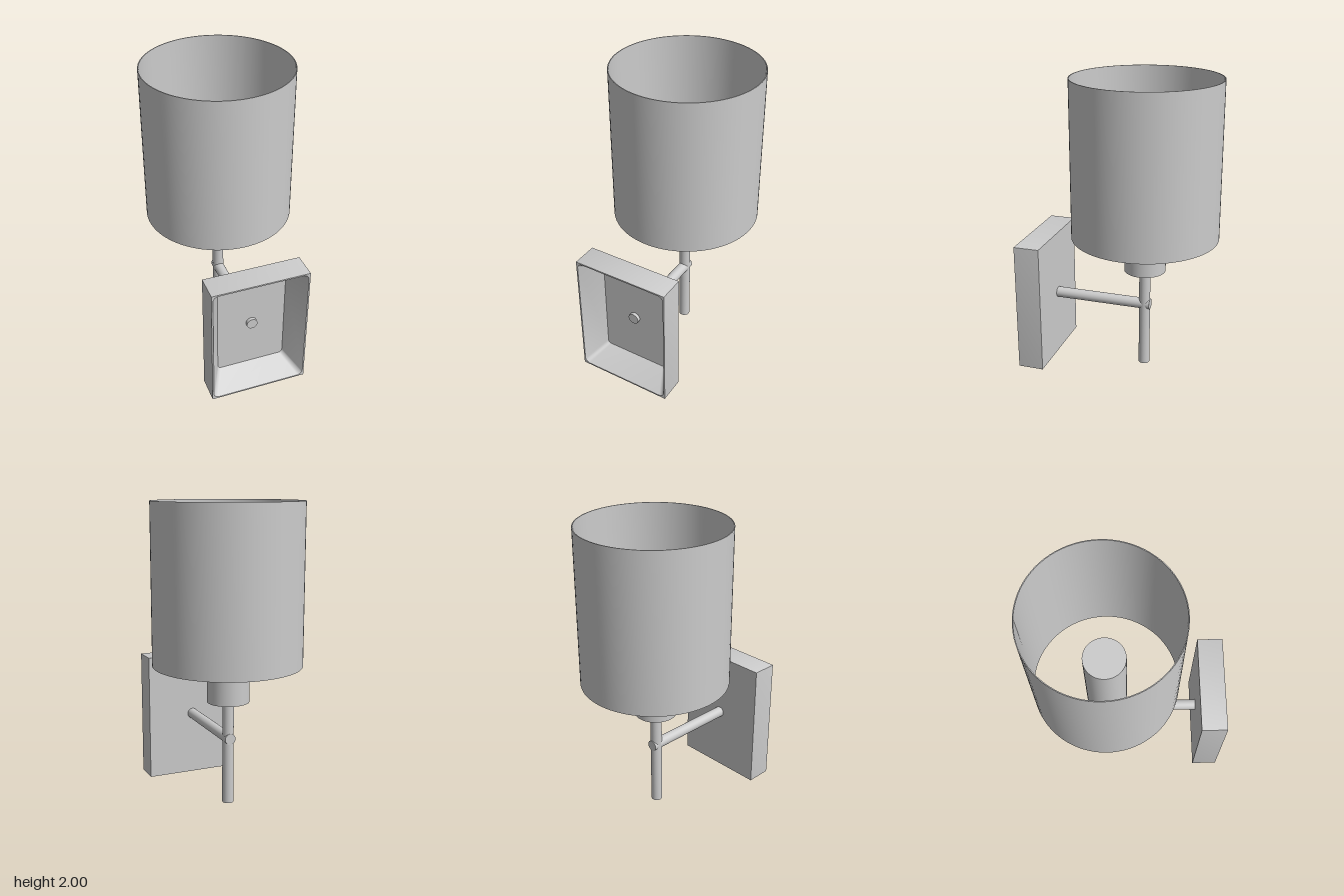
import * as THREE from 'three';
import { toCreasedNormals } from 'three/addons/utils/BufferGeometryUtils.js';

const CX = -0.005; // shared centre line
const STEM_Z = -0.16;

// Counter-clockwise rounded rectangle at depth z
function roundedRing(w, h, r, z) {
  const ring = [];
  const steps = 6;
  const corners = [[1, 1], [-1, 1], [-1, -1], [1, -1]];
  corners.forEach(([sx, sy], q) => {
    for (let i = 0; i <= steps; i++) {
      const a = (q + i / steps) * Math.PI / 2;
      ring.push([sx * (w / 2 - r) + r * Math.cos(a), sy * (h / 2 - r) + r * Math.sin(a), z]);
    }
  });
  return ring;
}

// Skin a series of rings and close both ends
function skinRings(rings) {
  const n = rings[0].length;
  const positions = rings.flat(2);
  const index = [];
  for (let i = 0; i < rings.length - 1; i++) {
    for (let j = 0; j < n; j++) {
      const k = (j + 1) % n;
      const a = i * n + j, b = i * n + k, c = b + n, d = a + n;
      index.push(a, b, c, a, c, d);
    }
  }
  const last = (rings.length - 1) * n;
  for (let j = 1; j < n - 1; j++) {
    index.push(0, j + 1, j, last, last + j, last + j + 1);
  }
  const geometry = new THREE.BufferGeometry();
  geometry.setAttribute('position', new THREE.Float32BufferAttribute(positions, 3));
  geometry.setIndex(index);
  return toCreasedNormals(geometry, 0.5);
}

export function createModel() {
  const model = new THREE.Group();
  model.name = 'wallLamp';
  const grey = new THREE.MeshStandardMaterial({ color: 0xcccccc });
  grey.name = 'light grey';

  const add = (name, geometry, x, y, z) => {
    const mesh = new THREE.Mesh(geometry, grey);
    mesh.name = name;
    mesh.position.set(x, y, z);
    model.add(mesh);
    return mesh;
  };

  // Thin open drum shade
  const outer = 0.49, inner = 0.484, bottom = 0.95, top = 2;
  const profile = [[outer, bottom], [outer, top], [inner, top], [inner, bottom], [outer, bottom]]
    .map(([r, y]) => new THREE.Vector2(r, y));
  add('shade', toCreasedNormals(new THREE.LatheGeometry(profile, 80), 0.5), 0, 0, STEM_Z);

  // Socket, upright stem and horizontal arm
  add('socket', new THREE.CylinderGeometry(0.14, 0.14, 0.7, 48), CX, 1.05, STEM_Z);
  add('stem', new THREE.CylinderGeometry(0.038, 0.038, 0.71, 32), CX, 0.355, STEM_Z);
  const arm = add('arm', new THREE.CylinderGeometry(0.037, 0.037, 0.71, 32), CX, 0.448, 0.155);
  arm.rotation.x = Math.PI / 2;

  // Hollow wall plate, with sloping walls down to a thin floor
  const plate = skinRings([
    roundedRing(0.66, 0.89, 0.001, 0.475),
    roundedRing(0.66, 0.89, 0.001, 0.65),
    roundedRing(0.64, 0.87, 0.035, 0.65),
    roundedRing(0.47, 0.69, 0.025, 0.487),
  ]);
  add('wallPlate', plate, CX, 0.445, 0);

  return model;
}
